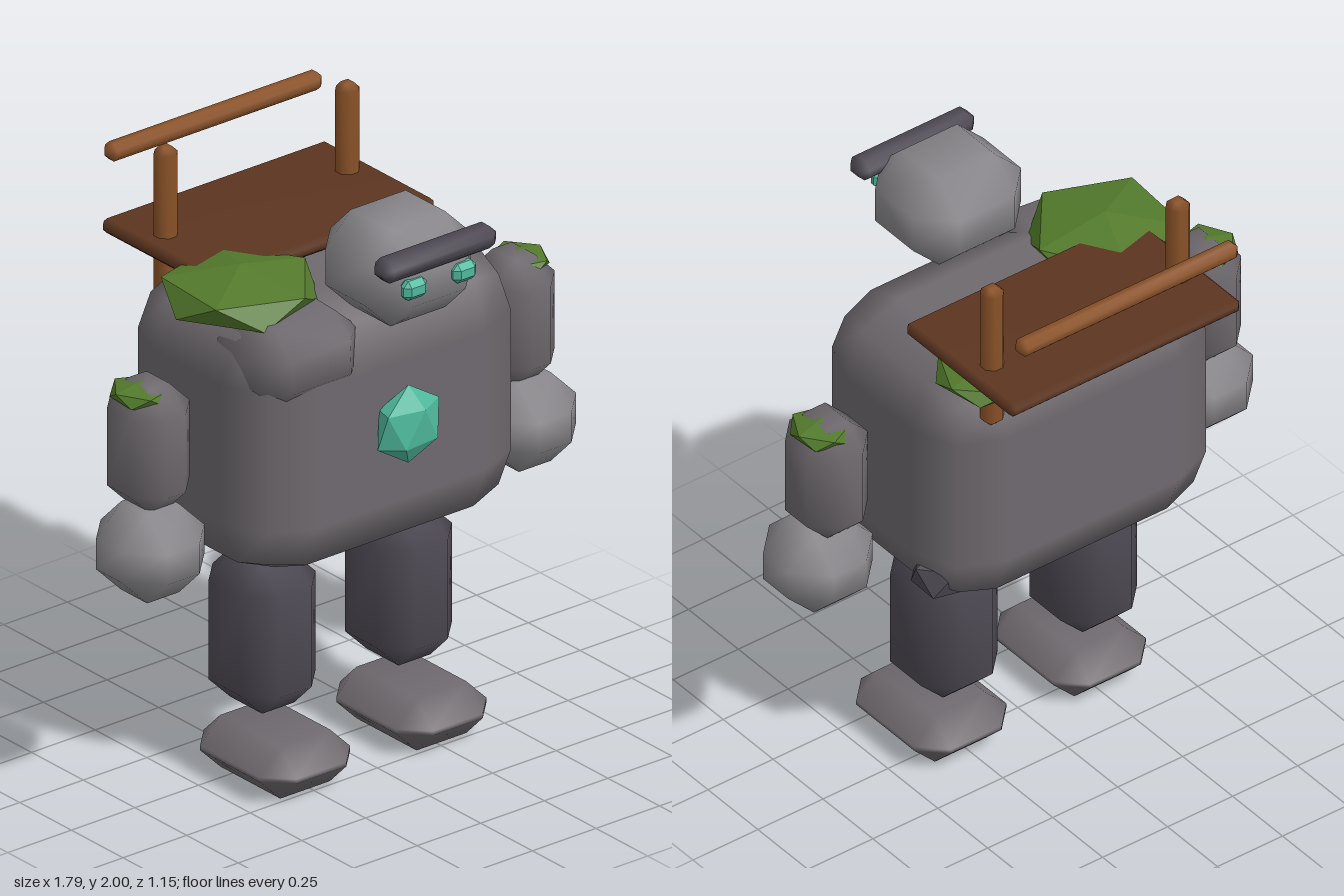
import * as THREE from 'three';
import { mergeVertices } from 'three/addons/utils/BufferGeometryUtils.js';
import { RoundedBoxGeometry } from 'three/addons/geometries/RoundedBoxGeometry.js';
import { ConvexGeometry } from 'three/addons/geometries/ConvexGeometry.js';

const mat = (color, flatShading = false) => new THREE.MeshStandardMaterial({ color, flatShading });

// Box with every edge cut at 45 degrees by b, softly shaded
function chamferBox(w, h, d, b) {
  const pts = [];
  for (const x of [-1, 1]) for (const y of [-1, 1]) for (const z of [-1, 1]) {
    const X = w / 2, Y = h / 2, Z = d / 2;
    pts.push(
      new THREE.Vector3(x * X, y * (Y - b), z * (Z - b)),
      new THREE.Vector3(x * (X - b), y * Y, z * (Z - b)),
      new THREE.Vector3(x * (X - b), y * (Y - b), z * Z));
  }
  let geo = new ConvexGeometry(pts);
  geo.deleteAttribute('normal');
  geo = mergeVertices(geo, 1e-4);
  geo.computeVertexNormals();
  return geo;
}

// Faceted lump: icosahedron standing on a vertex, scaled per axis
function lump(rx, ry, rz, turn = 0) {
  const geo = new THREE.IcosahedronGeometry(1, 0);
  geo.rotateX(-Math.atan2((1 + Math.sqrt(5)) / 2, 1));
  geo.rotateY(turn);
  geo.scale(rx, ry, rz);
  return geo;
}

export function createModel() {
  const root = new THREE.Group();
  const stone = mat(0x6e696e);
  const darkStone = mat(0x4d4852);
  const paleStone = mat(0x88868a);
  const darkChip = mat(0x4d4852, true);
  const moss = mat(0x537a2c, true);
  const plank = mat(0x5c3520);
  const timber = mat(0x8a5228);
  const crystal = mat(0x4fb89c, true);

  const add = (name, geo, material, x, y, z) => {
    const mesh = new THREE.Mesh(geo, material);
    mesh.name = name;
    mesh.position.set(x, y, z);
    root.add(mesh);
    return mesh;
  };

  // Torso with rocks breaking through and a chest crystal
  add('torso', new RoundedBoxGeometry(1.08, 0.89, 0.75, 1, 0.21), stone, 0, 1.195, -0.005);
  const rock = add('shoulderRock', chamferBox(0.38, 0.27, 0.36, 0.08), stone, -0.31, 1.5, 0.195);
  rock.rotation.set(0, -0.06, 0.05);
  add('hipRock', lump(0.14, 0.1, 0.11, 0.3), darkChip, 0.405, 0.85, -0.18);
  add('chestCrystal', lump(0.13, 0.132, 0.062, 0.2), crystal, 0, 1.225, 0.4);

  // Head
  add('head', chamferBox(0.415, 0.325, 0.39, 0.1), paleStone, 0, 1.767, 0.35);
  add('brow', chamferBox(0.445, 0.075, 0.09, 0.025), darkStone, 0, 1.853, 0.53);

  // Paired parts
  for (const s of [-1, 1]) {
    const side = s > 0 ? 'left' : 'right';
    add(side + 'Eye', chamferBox(0.09, 0.065, 0.05, 0.018), crystal, s * 0.097, 1.768, 0.545);
    add(side + 'Arm', chamferBox(0.235, 0.42, 0.27, 0.08), stone, s * 0.718, 1.24, 0.025);
    add(side + 'Hand', chamferBox(0.325, 0.3, 0.325, 0.1), paleStone, s * 0.731, 0.9, 0.05);
    add(side + 'Leg', chamferBox(0.295, 0.505, 0.325, 0.085), darkStone, s * 0.268, 0.483, 0.022);
    add(side + 'Foot', chamferBox(0.355, 0.175, 0.45, 0.08), stone, s * 0.268, 0.09, 0.085);
    add(side + 'ArmMoss', lump(0.1, 0.038, 0.113, s * 0.4), moss, s * 0.745, 1.415, 0.02);
    add(side + 'Post', chamferBox(0.072, 0.52, 0.072, 0.022), timber, s * 0.357, 1.74, -0.335);
  }

  // Carried platform and rail
  add('platform', chamferBox(0.885, 0.05, 0.54, 0.015), plank, 0, 1.677, -0.277);
  add('rail', chamferBox(0.835, 0.06, 0.06, 0.018), timber, 0, 1.915, -0.545);

  // Shoulder moss
  add('rightShoulderMoss', lump(0.27, 0.085, 0.275, 0.25), moss, -0.355, 1.65, 0.025);
  add('leftShoulderMoss', lump(0.17, 0.045, 0.175, 0.5), moss, 0.335, 1.62, -0.27);

  return root;
}
